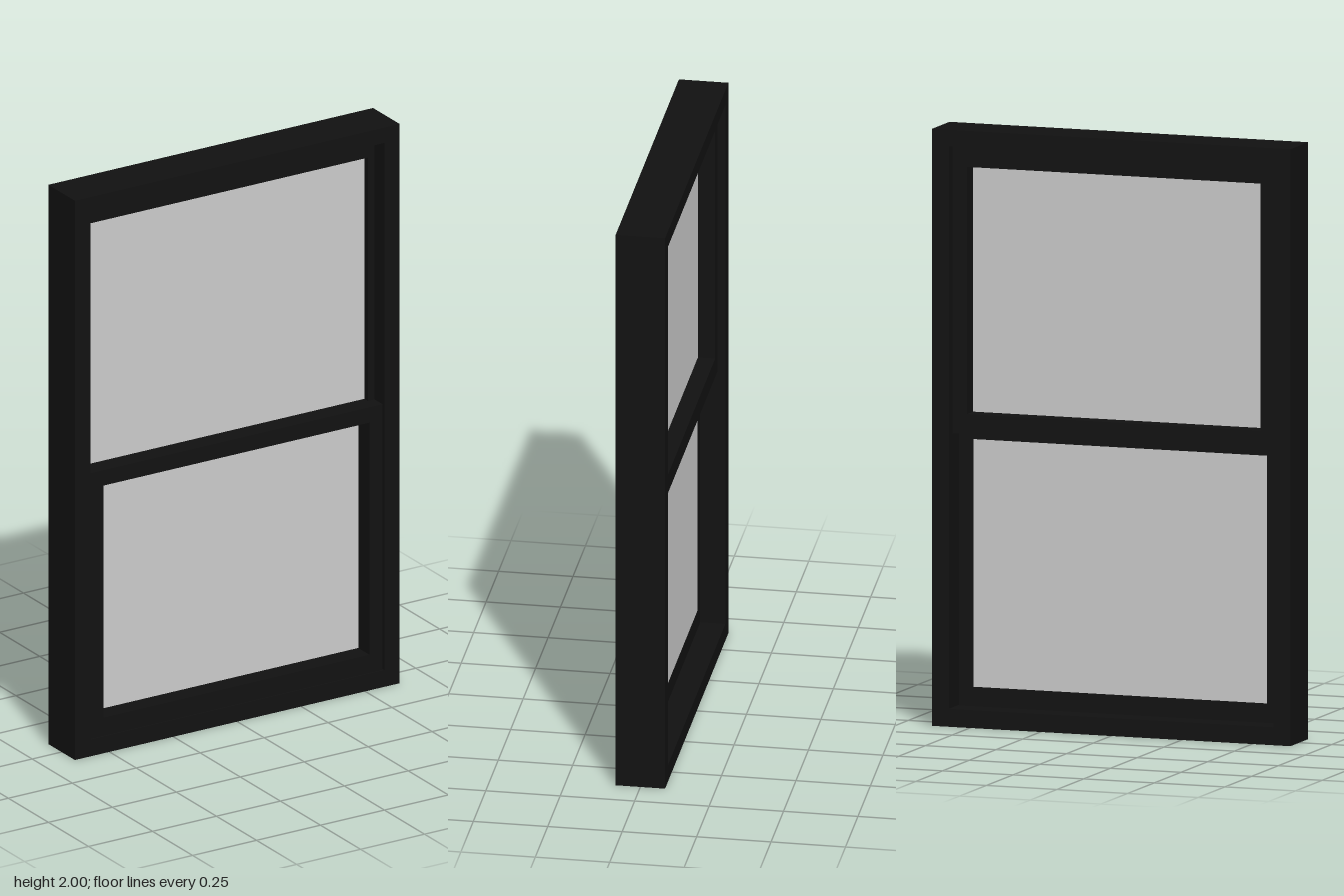
import * as THREE from 'three';

const black = new THREE.MeshStandardMaterial({ color: 0x111111 });
const grey = new THREE.MeshStandardMaterial({ color: 0xcccccc });

function box(name, x0, x1, y0, y1, z0, z1, material = black) {
  const mesh = new THREE.Mesh(new THREE.BoxGeometry(x1 - x0, y1 - y0, z1 - z0), material);
  mesh.position.set((x0 + x1) / 2, (y0 + y1) / 2, (z0 + z1) / 2);
  mesh.name = name;
  return mesh;
}

function rectangle(path, w, y0, y1) {
  path.moveTo(-w, y0);
  path.lineTo(w, y0);
  path.lineTo(w, y1);
  path.lineTo(-w, y1);
  path.closePath();
  return path;
}

// Rectangular ring: outer and inner are [half width, bottom, top]
function ring(name, outer, inner, z0, z1) {
  const shape = rectangle(new THREE.Shape(), ...outer);
  shape.holes.push(rectangle(new THREE.Path(), ...inner));
  const geometry = new THREE.ExtrudeGeometry(shape, { depth: z1 - z0, bevelEnabled: false });
  geometry.translate(0, 0, z0);
  const mesh = new THREE.Mesh(geometry, black);
  mesh.name = name;
  return mesh;
}

export function createModel() {
  const model = new THREE.Group();
  model.name = 'window';

  // Fixed outer frame
  model.add(ring('outerFrame', [0.635, 0, 2], [0.575, 0.06, 1.945], -0.083, 0.083));

  // Upper sash, set towards the back, with a narrow bead in front of its pane
  const upper = new THREE.Group();
  upper.name = 'upperSash';
  upper.add(ring('upperSashFrame', [0.571, 0.98, 1.941], [0.52, 1.047, 1.875], -0.058, 0));
  upper.add(box('upperPane', -0.55, 0.55, 1.0, 1.885, 0, 0.006, grey));
  for (const side of [-1, 1]) {
    const bead = box('sideBead', 0.545, 0.571, 1.01, 1.941, 0, 0.028);
    bead.position.x *= side;
    upper.add(bead);
  }
  upper.add(box('topBead', -0.545, 0.545, 1.88, 1.941, 0, 0.028));
  model.add(upper);

  // Lower sash, set towards the front, pane flush with its back
  const lower = new THREE.Group();
  lower.name = 'lowerSash';
  lower.add(ring('lowerSashFrame', [0.571, 0.06, 1.01], [0.52, 0.125, 0.955], 0.001, 0.078));
  lower.add(box('lowerPane', -0.52, 0.52, 0.125, 0.955, 0.002, 0.008, grey));
  model.add(lower);

  return model;
}
